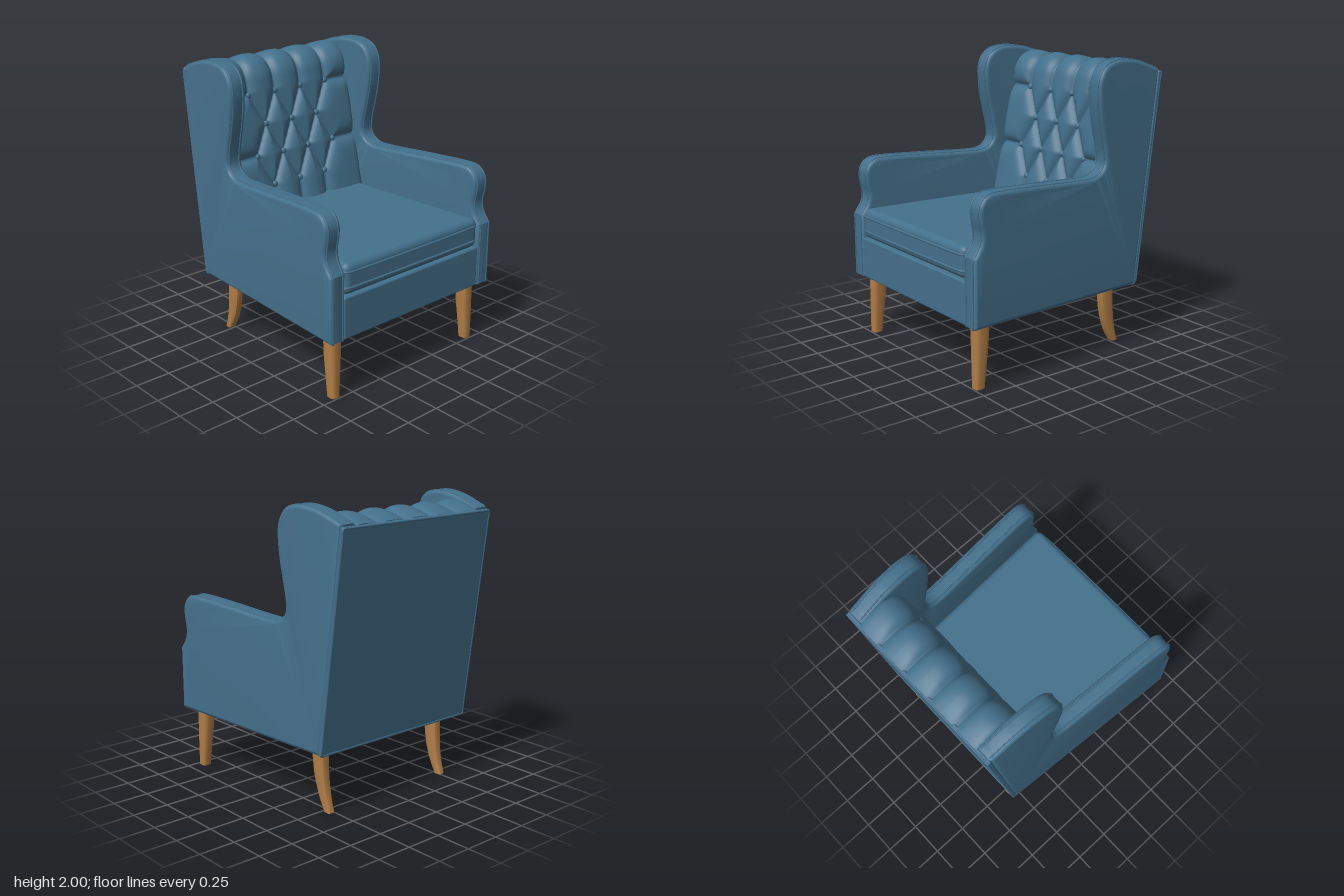
import * as THREE from 'three';
import { toCreasedNormals } from 'three/addons/utils/BufferGeometryUtils.js';
import { RoundedBoxGeometry } from 'three/addons/geometries/RoundedBoxGeometry.js';

const V2 = (x, y) => new THREE.Vector2(x, y);
const OUTER = 0.6975, INNER = 0.5675, SPLAY = 0.059; // side walls spread towards the front

// Move every vertex by a rule
function warp(geo, rule) {
  const p = geo.attributes.position, v = new THREE.Vector3();
  for (let i = 0; i < p.count; i++) {
    v.fromBufferAttribute(p, i);
    rule(v);
    p.setXYZ(i, v.x, v.y, v.z);
  }
  return geo;
}

// Mirror across x = 0 and restore the corner order
function mirrored(geo) {
  const g = geo.index ? geo.toNonIndexed() : geo.clone();
  g.scale(-1, 1, 1);
  for (const a of Object.values(g.attributes)) {
    const n = a.itemSize;
    for (let i = 0; i < a.count; i += 3) {
      for (let k = 0; k < n; k++) {
        const p = (i + 1) * n + k, q = (i + 2) * n + k, t = a.array[p];
        a.array[p] = a.array[q];
        a.array[q] = t;
      }
    }
  }
  return g;
}

const taper = (geo, half) => warp(geo, v => { v.x *= 1 + (SPLAY / half) * v.z; });

// Side wall outline: arm, elbow and wing (u = -z, y)
function wallShape() {
  const s = new THREE.Shape();
  s.moveTo(-0.803, 0.435);
  s.lineTo(-0.803, 0.88);
  s.splineThru([[0.755, 0.95], [0.74, 1.02], [0.757, 1.12], [0.752, 1.2], [0.70, 1.258], [0.6, 1.272],
    [0.3, 1.26], [-0.1, 1.238], [-0.22, 1.246], [-0.287, 1.295], [-0.297, 1.39], [-0.245, 1.64],
    [-0.23, 1.82], [-0.26, 1.92], [-0.33, 1.977], [-0.45, 1.995], [-0.6, 1.975], [-0.79, 1.91]]
    .map(([z, y]) => V2(-z, y)));
  s.lineTo(0.605, 0.435);
  s.closePath();
  return s;
}

// Tapered leg from rounded-square sections: rows of [y, xc, zc, width, depth], top first
function legGeometry(rows) {
  const n = rows.length - 1;
  const g = new THREE.CylinderGeometry(1, 1, 1, 20, n);
  warp(g, v => {
    const [y, xc, zc, w, d] = rows[Math.round((0.5 - v.y) * n)];
    const k = Math.pow(v.x ** 4 + v.z ** 4, -0.25);
    const r = Number.isFinite(k) ? k : 0;
    v.set(xc + v.x * r * w / 2, y, zc + v.z * r * d / 2);
  });
  return toCreasedNormals(g, 0.7);
}

function segmentDistance(x, y, [ax, ay, bx, by]) {
  const dx = bx - ax, dy = by - ay;
  const t = THREE.MathUtils.clamp(((x - ax) * dx + (y - ay) * dy) / (dx * dx + dy * dy), 0, 1);
  return Math.hypot(x - ax - t * dx, y - ay - t * dy);
}

export function createModel() {
  const model = new THREE.Group();
  model.name = 'wingbackArmchair';
  const fabric = new THREE.MeshStandardMaterial({ color: 0x44708b });
  fabric.name = 'blue fabric';
  const wood = new THREE.MeshStandardMaterial({ color: 0xb07d46 });
  wood.name = 'light wood';
  const add = (name, geo, mat = fabric) => {
    const m = new THREE.Mesh(geo, mat);
    m.name = name;
    model.add(m);
    return m;
  };
  const addPair = (name, geo, mat) => {
    add(name + 'Left', geo, mat);
    add(name + 'Right', mirrored(geo), mat);
  };
  const piping = (points, r, segs) =>
    new THREE.TubeGeometry(new THREE.CatmullRomCurve3(points, true, 'centripetal'), segs, r, 6, true);

  // Side walls with welted edges
  const shape = wallShape(), bevel = 0.025, thick = OUTER - INNER;
  const wall = new THREE.ExtrudeGeometry(shape, {
    depth: thick - 2 * bevel, curveSegments: 6, bevelEnabled: true,
    bevelThickness: bevel, bevelSize: bevel, bevelOffset: -bevel, bevelSegments: 5,
  });
  wall.rotateY(Math.PI / 2);
  warp(wall, v => { v.x += INNER + bevel + SPLAY * v.z; });
  addPair('sideWall', toCreasedNormals(wall, 0.6));
  for (const [name, x] of [['innerWelt', INNER + bevel], ['outerWelt', OUTER - bevel]]) {
    const pts = shape.getSpacedPoints(150).slice(0, -1)
      .map(p => new THREE.Vector3(x - SPLAY * p.x, p.y, -p.x));
    addPair(name, piping(pts, 0.006, 300));
  }

  // Seat base and underside
  const rail = new RoundedBoxGeometry(2 * INNER + 0.02, 0.29, 1.36, 3, 0.015);
  add('seatBase', taper(rail.translate(0, 0.575, 0.12), INNER));
  const under = new RoundedBoxGeometry(1.31, 0.04, 1.36, 2, 0.01);
  add('undersidePanel', taper(under.translate(0, 0.44, 0.1), OUTER));

  // Seat cushion with two piped seams
  const cushion = new RoundedBoxGeometry(2 * INNER, 0.212, 1.15, 6, 0.045);
  add('seatCushion', taper(cushion.translate(0, 0.828, 0.225), INNER));
  for (const y of [0.775, 0.88]) {
    const pts = [], r = 0.05;
    for (const [cx, cz, a0] of [[1, 1, 0], [-1, 1, 1], [-1, -1, 2], [1, -1, 3]]) {
      for (let k = 0; k <= 4; k++) {
        const a = (a0 + k / 4) * Math.PI / 2;
        const z = 0.225 + cz * (0.575 - r) + r * Math.sin(a);
        pts.push(new THREE.Vector3((cx * (INNER - r) + r * Math.cos(a)) * (1 + SPLAY / INNER * z), y, z));
      }
    }
    add('cushionPiping', piping(pts, 0.009, 160));
  }

  // Reclined outer back with welt
  const lean = Math.atan2(0.195, 1.47);
  const place = g => taper(g.rotateX(-lean).translate(0, 1.163, -0.702), OUTER);
  add('backPanel', place(new RoundedBoxGeometry(2 * OUTER - 0.005, 1.48, 0.03, 3, 0.012)));
  const bw = OUTER - 0.008, bh = 0.732, corners = [[-bw, -bh], [bw, -bh], [bw, bh], [-bw, bh]];
  const rim = new THREE.CurvePath();
  corners.forEach(([x, y], i) => {
    const [nx, ny] = corners[(i + 1) % 4];
    rim.add(new THREE.LineCurve3(new THREE.Vector3(x, y, -0.012), new THREE.Vector3(nx, ny, -0.012)));
  });
  add('backWelt', place(piping(rim.getSpacedPoints(120).slice(0, -1), 0.008, 240)));

  // Tuft buttons and the creases joining them
  const buttons = [], creases = [];
  [1.71, 1.5, 1.29, 1.08].forEach((y, row) => {
    const xs = row % 2 ? [-0.23, 0, 0.23] : [-0.345, -0.115, 0.115, 0.345];
    xs.forEach(x => {
      buttons.push([x, y]);
      if (row < 3) for (const s of [-0.115, 0.115])
        if (Math.abs(x + s) < 0.36) creases.push([x, y, x + s, y - 0.21]);
      if (row === 0) creases.push([x, y, x, 2.6]);
      if (row === 3) creases.push([x, y, x, 0.5]);
      if (Math.abs(x) > 0.3) creases.push([x, y, Math.sign(x) * 0.6, y]);
    });
  });

  // Tufted inner back: a sheet that follows a profile and swells between creases
  const profile = new THREE.SplineCurve([V2(-0.283, 0.7), V2(-0.33, 0.93), V2(-0.415, 1.34), V2(-0.495, 1.73),
    V2(-0.53, 1.85), V2(-0.6, 1.905), V2(-0.7, 1.91), V2(-0.802, 1.885)]);
  const length = profile.getLength();
  const sample = u => {
    const p = profile.getPointAt(u), t = profile.getTangentAt(u);
    return { p, nz: t.y, ny: -t.x };
  };
  const pad = new THREE.PlaneGeometry(2, 1, 130, 120);
  warp(pad, v => {
    const u = THREE.MathUtils.clamp(v.y + 0.5, 0, 1), { p, nz, ny } = sample(u);
    const half = INNER + SPLAY * p.x + 0.012;
    const x = v.x * half, h = 0.7 + u * length * 0.98;
    let d = 1;
    for (const c of creases) d = Math.min(d, segmentDistance(x, h, c));
    const edge = 1 - Math.exp(-(half - Math.abs(x)) / 0.02) * 0.5;
    const fade = 1 - 0.6 * THREE.MathUtils.smoothstep(u, 0.85, 1);
    const swell = 0.055 * (1 - Math.exp(-d / 0.035)) * edge * fade;
    v.set(x, p.y + ny * swell, p.x + nz * swell);
  });
  pad.computeVertexNormals();
  add('tuftedBack', pad).material.side = THREE.DoubleSide;
  for (const [x, y] of buttons) {
    const { p, nz, ny } = sample((y - 0.7) / (length * 0.98));
    const b = add('tuftButton', new THREE.SphereGeometry(0.021, 14, 10));
    b.scale.z = 0.7;
    b.rotation.x = -Math.atan2(ny, nz);
    b.position.set(x, p.y + ny * 0.014, p.x + nz * 0.014);
  }

  // Straight front legs and swept back legs
  addPair('frontLeg', legGeometry([[0.435, 0.622, 0.685, 0.095, 0.11], [0.28, 0.625, 0.69, 0.088, 0.1],
    [0.12, 0.629, 0.7, 0.075, 0.083], [0, 0.631, 0.706, 0.066, 0.07]]), wood);
  addPair('backLeg', legGeometry([[0.435, 0.52, -0.457, 0.072, 0.112], [0.35, 0.52, -0.458, 0.072, 0.11],
    [0.27, 0.52, -0.464, 0.07, 0.104], [0.19, 0.519, -0.475, 0.066, 0.096], [0.11, 0.518, -0.495, 0.062, 0.084],
    [0.05, 0.518, -0.517, 0.058, 0.07], [0, 0.518, -0.54, 0.056, 0.056]]), wood);
  return model;
}
